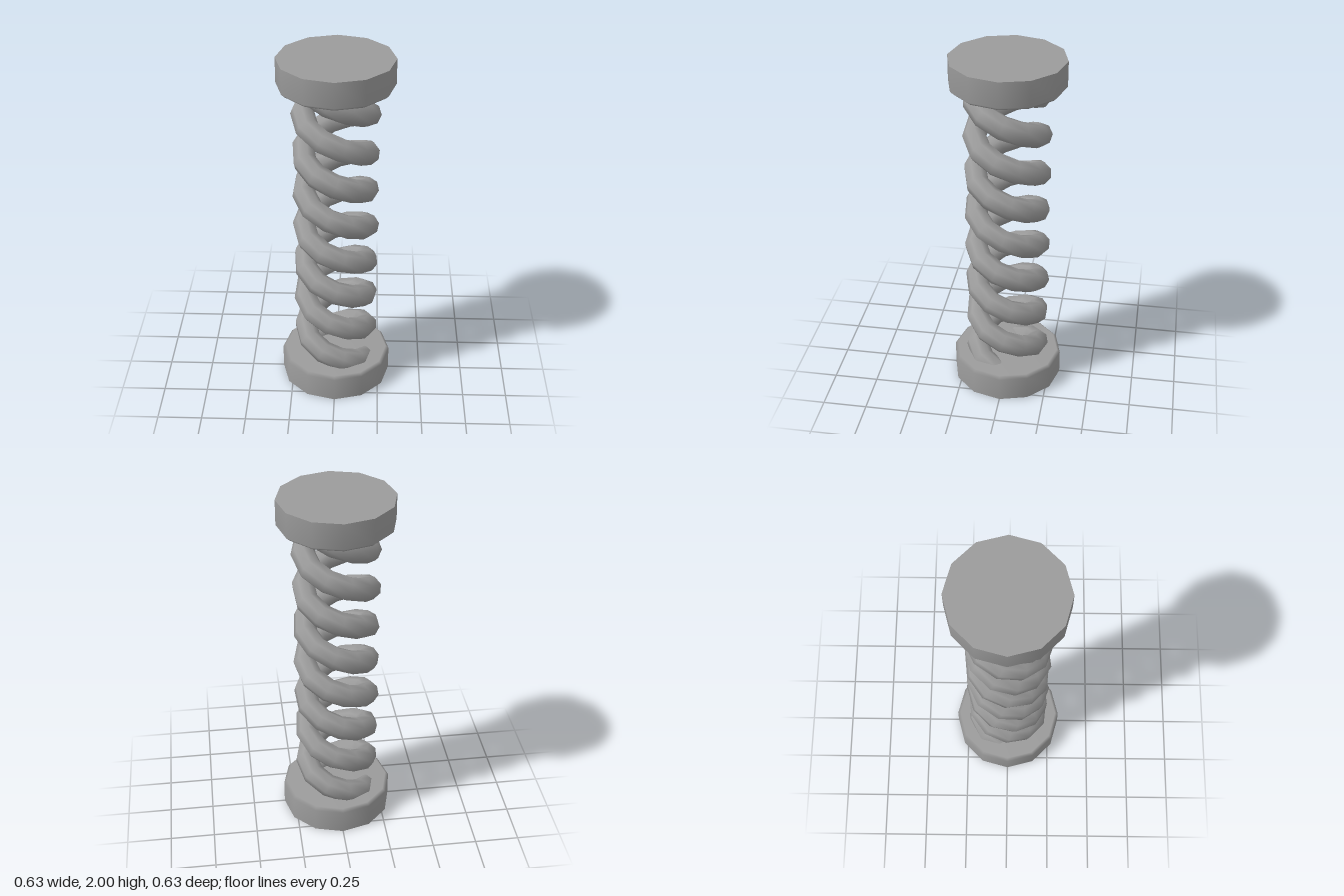
import * as THREE from 'three';

const PITCH = 0.457, COIL_R = 0.177, WIRE_R = 0.065;
const SEGMENTS = 42, SEGMENTS_PER_TURN = 32 / 3;

// Helix centred on y = 1, whose ends are buried in the end plates
class Helix extends THREE.Curve {
  constructor(phase) {
    super();
    this.phase = phase;
  }
  getPoint(t, target = new THREE.Vector3()) {
    const turns = (t - 0.5) * SEGMENTS / SEGMENTS_PER_TURN;
    const a = turns * Math.PI * 2 + this.phase;
    return target.set(Math.cos(a) * COIL_R, 1 + turns * PITCH, Math.sin(a) * COIL_R);
  }
}

export function createModel() {
  const group = new THREE.Group();
  const material = new THREE.MeshStandardMaterial({ color: 0x9b9b9b });
  const add = (name, geometry) => {
    const mesh = new THREE.Mesh(geometry, material);
    mesh.name = name;
    group.add(mesh);
    return mesh;
  };

  // Twelve-sided end plates with a soft bevel towards the coils;
  // the doubled point keeps the outer rim sharp
  const profile = [[0, 0], [0.315, 0], [0.315, 0], [0.315, 0.14], [0.297, 0.157], [0, 0.157]]
    .map(([x, y]) => new THREE.Vector2(x, y));
  const plate = new THREE.LatheGeometry(profile, 12);
  add('bottomPlate', plate);
  const top = add('topPlate', plate);
  top.rotation.x = Math.PI;
  top.position.y = 2;

  // Two intertwined coils, half a turn apart
  ['coilA', 'coilB'].forEach((name, i) =>
    add(name, new THREE.TubeGeometry(new Helix(i * Math.PI), SEGMENTS, WIRE_R, 8, false)));

  return group;
}
